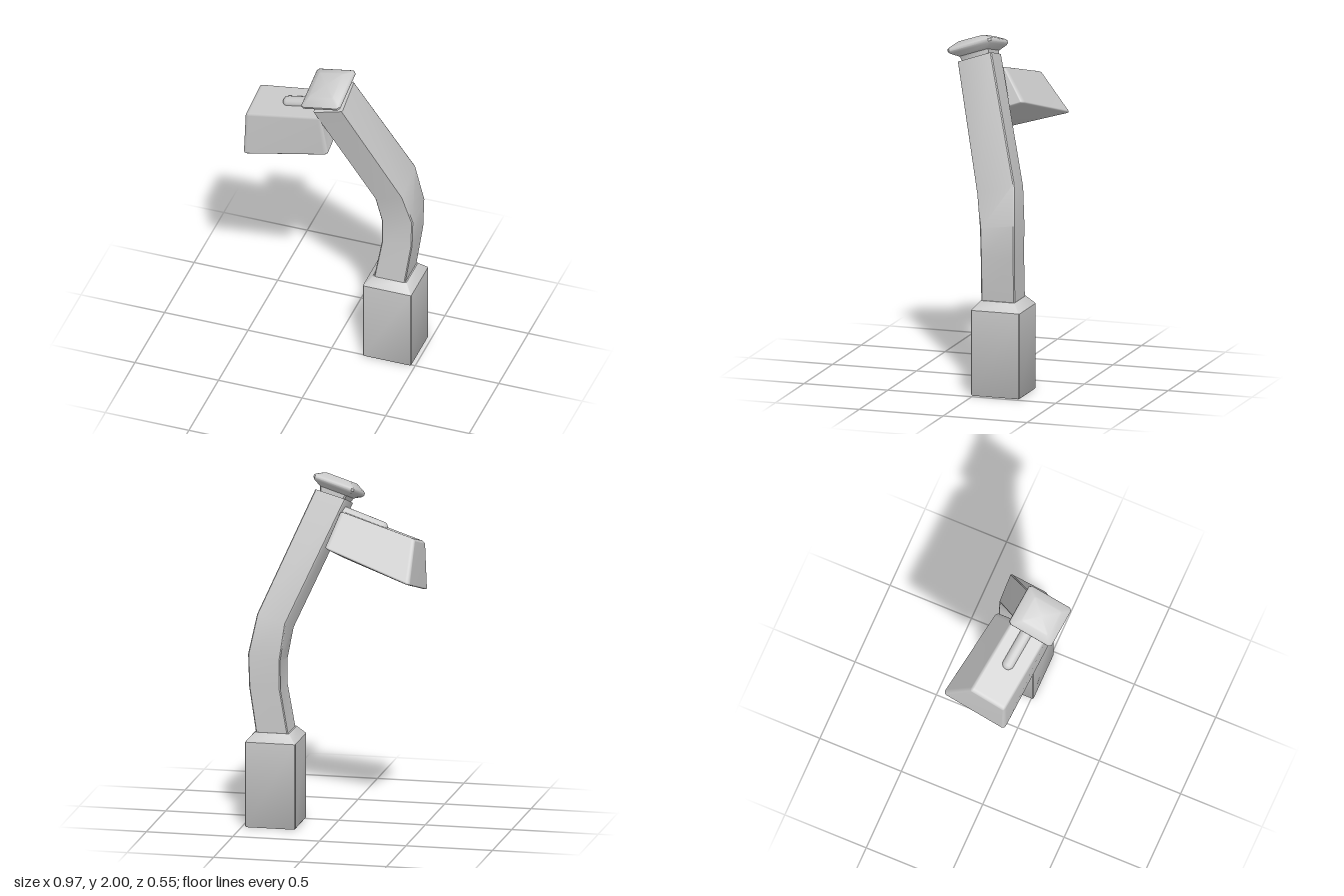
import * as THREE from 'three';
import { mergeVertices, toCreasedNormals } from 'three/addons/utils/BufferGeometryUtils.js';
import { RoundedBoxGeometry } from 'three/addons/geometries/RoundedBoxGeometry.js';

const material = new THREE.MeshStandardMaterial({ color: 0xcccccc });

function addMesh(group, name, geometry) {
  const mesh = new THREE.Mesh(geometry, material);
  mesh.name = name;
  group.add(mesh);
  return mesh;
}

// Closed loft through rectangles [centre, u edge, v edge], corners clipped by k.
function loft(sections, k, crease) {
  const h = 0.5, i = 0.5 - k;
  const outline = [[h, i], [h, -i], [i, -h], [-i, -h], [-h, -i], [-h, i], [-i, h], [i, h]];
  const n = outline.length, pos = [], index = [];
  for (const [c, u, v] of sections)
    for (const [a, b] of outline)
      for (let d = 0; d < 3; d++) pos.push(c[d] + a * u[d] + b * v[d]);
  const last = sections.length - 1, bottom = n * sections.length, top = bottom + 1;
  pos.push(...sections[0][0], ...sections[last][0]);
  for (let j = 0; j < n; j++) {
    const m = (j + 1) % n;
    for (let s = 0; s < last; s++) {
      const a = s * n + j, b = s * n + m;
      index.push(a, b, b + n, a, b + n, a + n);
    }
    index.push(bottom, m, j, top, last * n + j, last * n + m);
  }
  const g = new THREE.BufferGeometry();
  g.setAttribute('position', new THREE.Float32BufferAttribute(pos, 3));
  g.setIndex(index);
  return toCreasedNormals(g, crease);
}

// Rounded box stretched onto eight corners; corner index = x + 2y + 4z bits.
function cornerBox(corners, radius) {
  let g = new RoundedBoxGeometry(1, 1, 1, 3, radius);
  g.deleteAttribute('normal');
  g.deleteAttribute('uv');
  const p = g.attributes.position;
  for (let i = 0; i < p.count; i++) {
    const t = [p.getX(i) + 0.5, p.getY(i) + 0.5, p.getZ(i) + 0.5], out = [0, 0, 0];
    corners.forEach((c, j) => {
      const w = t.reduce((acc, f, d) => acc * ((j >> d) & 1 ? f : 1 - f), 1);
      for (let d = 0; d < 3; d++) out[d] += w * c[d];
    });
    p.setXYZ(i, ...out);
  }
  g = mergeVertices(g, 1e-4);
  g.computeVertexNormals();
  return g;
}

export function createModel() {
  const group = new THREE.Group();

  // Square footing with chamfered shoulder
  const level = (y, w) => [[0.335, y, -0.132], [w, 0, 0], [0, 0, w]];
  addMesh(group, 'base', loft(
    [level(0, 0.28), level(0.008, 0.29), level(0.495, 0.29), level(0.545, 0.2)], 0.015, 0.6));

  // Bent post, leaning forward and to the right above its knee
  addMesh(group, 'post', loft([
    [[0.333, 0.53, -0.13], [0.185, 0, 0], [0, 0, 0.2]],
    [[0.375, 0.8, -0.14], [0.18, 0.01, 0], [0, -0.01, 0.2]],
    [[0.378, 0.97, -0.14], [0.185, 0.03, 0], [0, -0.03, 0.205]],
    [[0.34, 1.17, -0.115], [0.165, 0.05, 0], [0, -0.07, 0.22]],
    [[0.05, 1.855, 0.108], [0.175, 0.05, 0], [0, -0.07, 0.2]],
  ], 0.03, 0.65));

  // Tilted cap: neck, flared rim and shallow raised top
  const normal = [-0.25, 0.91, 0.32];
  const capRing = (lift, size) => [
    [0.025, 1.918, 0.127].map((c, d) => c + lift * normal[d]),
    [0.238, 0.066, 0.03].map(c => c * size),
    [-0.01, -0.09, 0.262].map(c => c * size),
  ];
  addMesh(group, 'cap', loft([
    capRing(-0.075, 0.6), capRing(-0.045, 0.66), capRing(-0.022, 0.93), capRing(-0.01, 1),
    capRing(0.004, 1), capRing(0.014, 0.94), capRing(0.036, 0.66), capRing(0.04, 0.6),
  ], 0.05, 0.7));

  // Tapered lamp head hanging off the side of the post
  addMesh(group, 'lampHead', cornerBox([
    [-0.465, 1.45, -0.265], [0.05, 1.615, -0.155],
    [-0.46, 1.68, -0.09], [-0.015, 1.80, -0.02],
    [-0.487, 1.33, 0.127], [0.04, 1.49, 0.18],
    [-0.475, 1.615, 0.12], [0.0, 1.75, 0.19],
  ], 0.05));

  // Rounded bracket rod lying on the lamp head
  const from = new THREE.Vector3(-0.24, 1.71, 0.045), to = new THREE.Vector3(0.03, 1.79, 0.083);
  const along = to.clone().sub(from);
  const rod = addMesh(group, 'bracketRod', new THREE.CapsuleGeometry(0.034, along.length(), 6, 16));
  rod.scale.x = 0.85;
  rod.position.copy(from).lerp(to, 0.5);
  rod.quaternion.setFromUnitVectors(new THREE.Vector3(0, 1, 0), along.normalize());

  return group;
}
